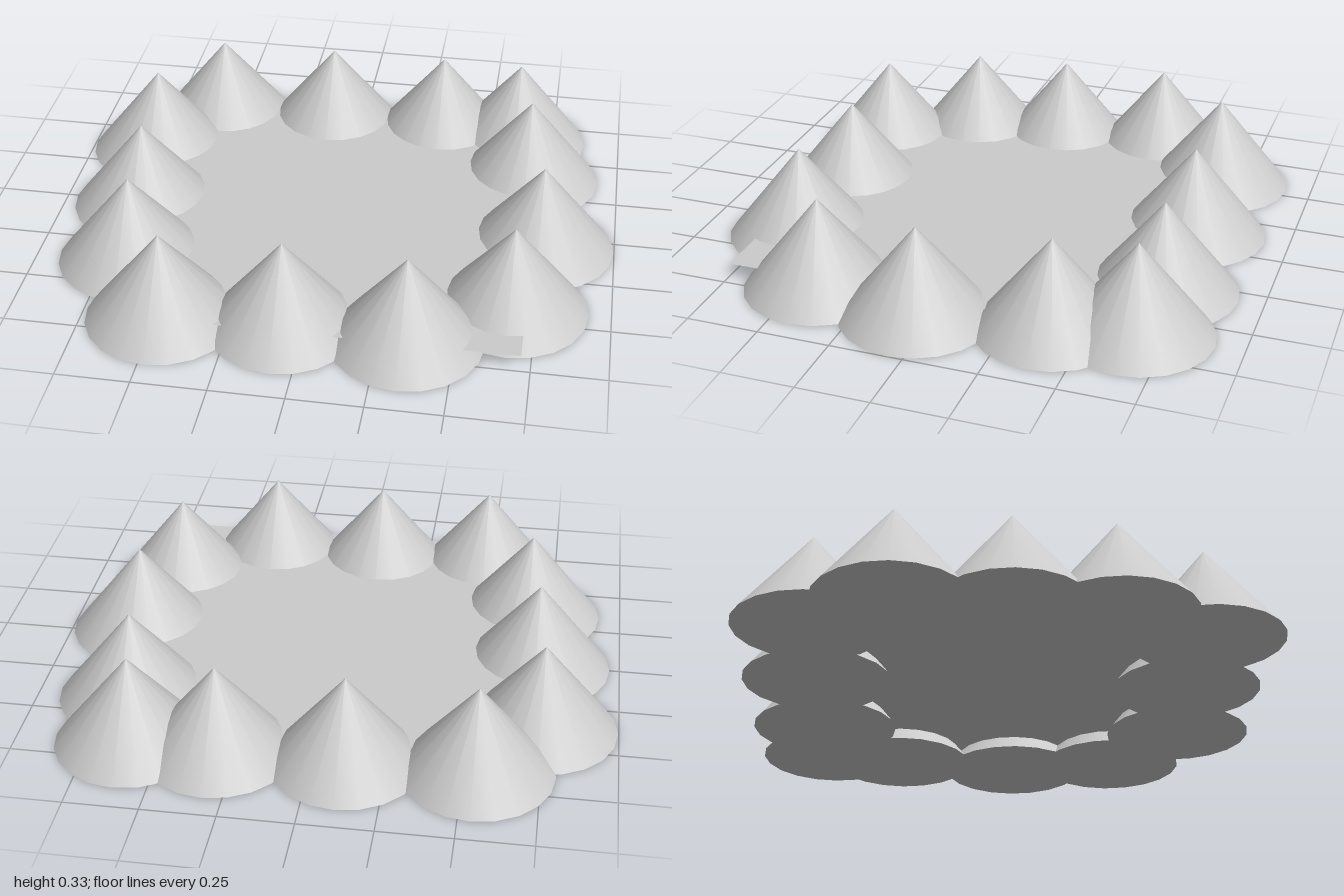
import * as THREE from 'three';

const RADIUS = 0.26;
const HEIGHT = 0.327;

// Peak centres [x, z], one list per side of the ring
const RING = {
  back: [[-0.54, -0.65], [-0.11, -0.655], [0.316, -0.655], [0.61, -0.645]],
  leftSide: [[0.668, -0.38], [0.738, 0.054], [0.665, 0.43]],
  front: [[0.337, 0.65], [-0.075, 0.63], [-0.48, 0.65]],
  rightSide: [[-0.663, 0.343], [-0.705, 0], [-0.738, -0.38]],
};

export function createModel() {
  const model = new THREE.Group();
  model.name = 'mountainRing';
  const grey = new THREE.MeshStandardMaterial({ color: 0xcccccc });
  const thinGrey = new THREE.MeshStandardMaterial({ color: 0xcccccc, side: THREE.DoubleSide });

  // Ring of overlapping cone mountains
  const cone = new THREE.ConeGeometry(RADIUS, HEIGHT, 20);
  cone.translate(0, HEIGHT / 2, 0);
  for (const [side, centres] of Object.entries(RING)) {
    centres.forEach(([x, z], i) => {
      const mountain = new THREE.Mesh(cone, grey);
      mountain.name = `${side}Mountain${i + 1}`;
      mountain.position.set(x, 0, z);
      model.add(mountain);
    });
  }

  // Thin flat valley floor, one corner showing between the mountains
  const floor = new THREE.Mesh(new THREE.PlaneGeometry(1.375, 1.375), thinGrey);
  floor.name = 'valleyFloor';
  floor.rotation.x = -Math.PI / 2;
  floor.position.set(0.03, 0.055, 0.053);
  model.add(floor);

  return model;
}
